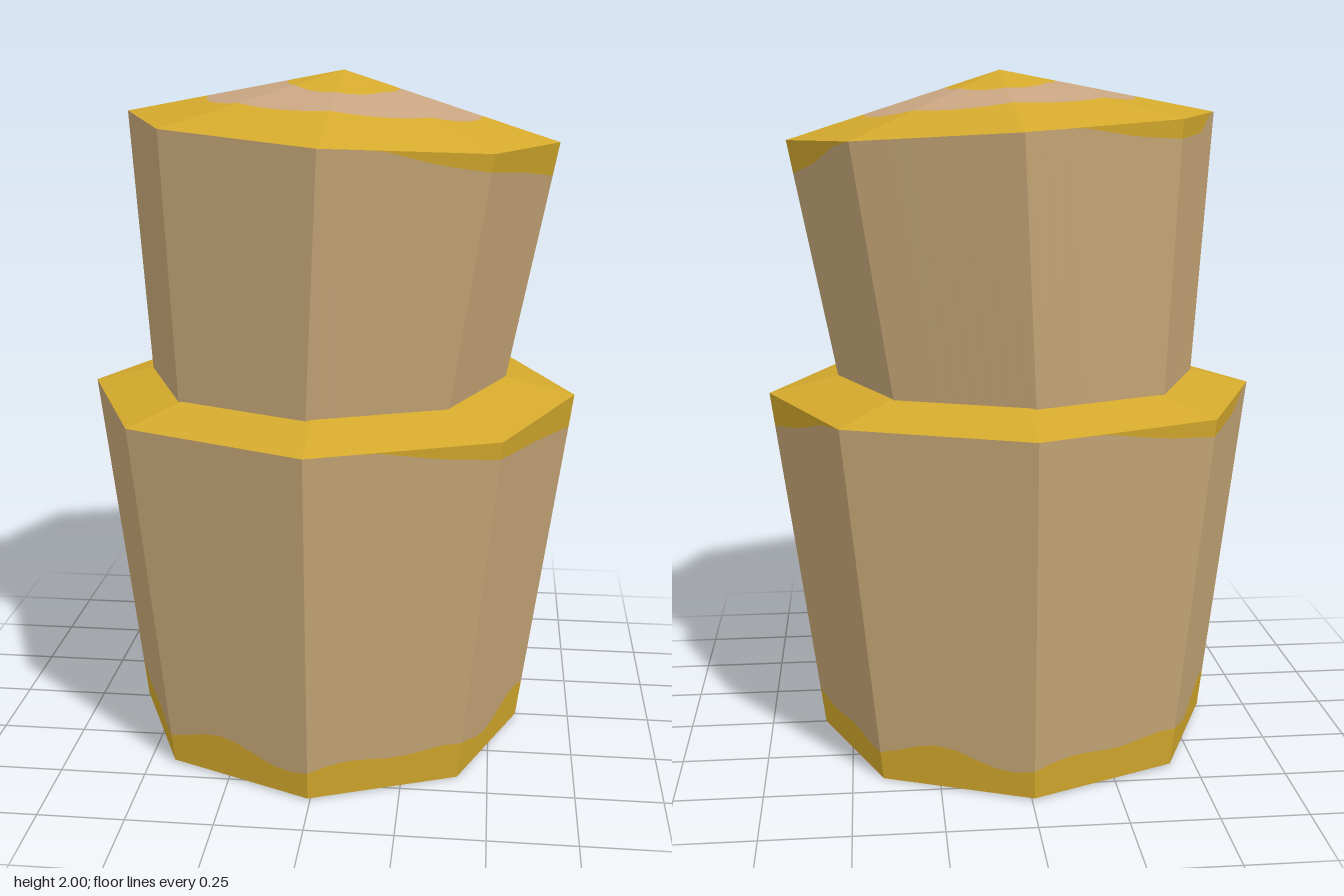
import * as THREE from 'three';

const SIDES = 8, STEPS = 8;
const gold = new THREE.MeshStandardMaterial({ name: 'gold', color: 0xd4a92c });
const tan = new THREE.MeshStandardMaterial({ name: 'tan', color: 0xc8a878 });
const dustyTan = new THREE.MeshStandardMaterial({ name: 'dustyTan', color: 0xc8a581 });

// Octagonal section: centre x, height, radius, and slope of its plane along x
const section = (x, y, r, tilt = 0) => ({ x, y, r, tilt });

// Point on a section; u counts corners, starting at +x and turning towards +z
function pointOn(s, u) {
  const k = Math.floor(u);
  const corner = (i) => {
    const a = (i / SIDES) * Math.PI * 2, dx = s.r * Math.cos(a);
    return new THREE.Vector3(s.x + dx, s.y + s.tilt * dx, s.r * Math.sin(a));
  };
  return corner(k).lerp(corner(k + 1), u - k);
}

// Closed flat-shaded strip between two edge functions of u, from lower to upper
function strip(name, material, low, high) {
  const points = [], n = SIDES * STEPS;
  const add = (a, b, c) => {
    const area = b.clone().sub(a).cross(c.clone().sub(a)).length();
    if (area > 1e-8) points.push(a, b, c);
  };
  for (let i = 0; i < n; i++) {
    const u = i / STEPS, v = (i + 1) / STEPS;
    const a = low(u), b = low(v), c = high(v), d = high(u);
    add(a, d, c);
    add(a, c, b);
  }
  const geometry = new THREE.BufferGeometry().setFromPoints(points);
  geometry.computeVertexNormals();
  const mesh = new THREE.Mesh(geometry, material);
  mesh.name = name;
  return mesh;
}

// Depth of the uneven gold edge below a rim, as [u, depth]
const rimKeys = [[0, 0.1], [0.5, 0.07], [1, 0.05], [1.3, 0.035], [1.65, 0], [4.1, 0], [4.4, 0.05],
  [5, 0.05], [5.3, 0.035], [5.65, 0], [7, 0], [7.25, 0.015], [7.6, 0.065], [8, 0.1]];
function rimDepth(u) {
  const w = u % SIDES;
  const i = Math.max(1, rimKeys.findIndex((key) => key[0] >= w));
  const [u0, d0] = rimKeys[i - 1], [u1, d1] = rimKeys[i];
  return THREE.MathUtils.lerp(d0, d1, (w - u0) / (u1 - u0));
}

// Height of the uneven gold edge around the foot
const footHeight = (u) => 0.1 + 0.015 * Math.cos(u * Math.PI * 1.5) + 0.015 * Math.sin(u * Math.PI * 2.5);

// Tapered wall with a gold rim and, if wanted, a gold foot
function wall(name, bottom, top, hasFoot) {
  const group = new THREE.Group();
  group.name = name;
  const height = top.y - bottom.y;
  const at = (u, t) => pointOn(bottom, u).lerp(pointOn(top, u), t);
  const footLine = (u) => at(u, hasFoot ? footHeight(u) / height : 0);
  const rimLine = (u) => at(u, 1 - rimDepth(u) / height);
  group.add(strip(name + 'Side', tan, footLine, rimLine));
  group.add(strip(name + 'GoldRim', gold, rimLine, (u) => at(u, 1)));
  if (hasFoot) group.add(strip(name + 'GoldFoot', gold, (u) => at(u, 0), footLine));
  return group;
}

// Cap from a section to its apex, with a dusty ring around a gold middle
function cap(name, edge, apex, facesDown) {
  const group = new THREE.Group();
  group.name = name;
  // distance from the apex to an oval, as a share of the way to the edge
  const oval = (rx, rz) => (u) => {
    const p = pointOn(edge, u).sub(apex);
    return apex.clone().addScaledVector(p, edge.r / Math.hypot(p.x / rx, p.z / rz));
  };
  const rings = [(u) => pointOn(edge, u), oval(0.63, 0.555), oval(0.255, 0.315), () => apex.clone()];
  const names = ['Border', 'Ring', 'Middle'];
  names.forEach((part, i) => {
    const [low, high] = facesDown ? [rings[i + 1], rings[i]] : [rings[i], rings[i + 1]];
    group.add(strip(name + part, i === 1 ? dustyTan : gold, low, high));
  });
  return group;
}

export function createModel() {
  const model = new THREE.Group();
  model.name = 'steppedPost';

  // Lower block with underside and sloping shoulder
  const foot = section(-0.007, 0.005, 0.592, -0.008);
  const shoulder = section(0, 1.06, 0.727, -0.005);
  model.add(wall('lowerBlock', foot, shoulder, true));
  model.add(cap('underside', foot, new THREE.Vector3(-0.007, 0.005, 0), true));
  model.add(strip('shoulder', gold, (u) => pointOn(shoulder, u), () => new THREE.Vector3(0, 1.238, 0)));

  // Upper block, sunk into the shoulder, with a tilted pointed cap
  const neck = section(-0.021, 1.0, 0.522);
  const rim = section(0.0275, 1.84, 0.628, -0.0625);
  model.add(wall('upperBlock', neck, rim, false));
  model.add(cap('topCap', rim, new THREE.Vector3(0.035, 2.0, 0), false));

  return model;
}
